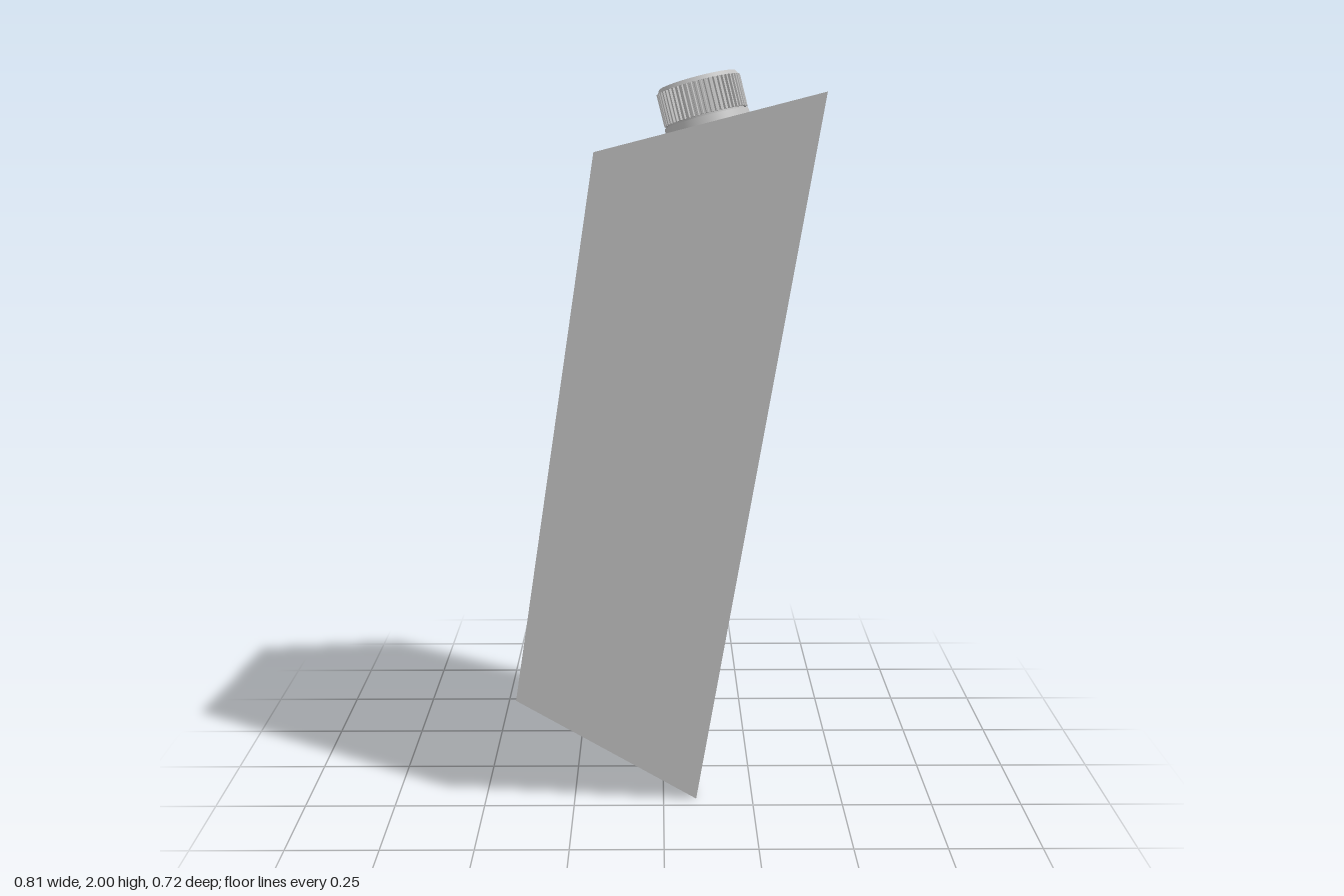
import * as THREE from 'three';

const plastic = new THREE.MeshStandardMaterial({ color: 0xc0c0c0 });
plastic.name = 'grey';

const V = (x, y, z) => new THREE.Vector3(x, y, z);

function addMesh(parent, name, geometry, y = 0) {
  const mesh = new THREE.Mesh(geometry, plastic);
  mesh.name = name;
  mesh.position.y = y;
  parent.add(mesh);
  return mesh;
}

// Front left corner of the slanted end faces, with steps to the right and to the back
const top = { corner: V(0.4, 1.945, 0.348), right: V(-0.573, -0.145, 0.01), back: V(0.006, -0.065, -0.588) };
const bottom = { corner: V(0.092, 0, 0.21), right: V(-0.497, 0.315, 0.043), back: V(0.042, 0.147, -0.57) };

// Leaning carton: a box whose corners move onto the two slanted ends
function cartonGeometry() {
  const geometry = new THREE.BoxGeometry(1, 1, 1);
  const pos = geometry.attributes.position;
  for (let i = 0; i < pos.count; i++) {
    const end = pos.getY(i) > 0 ? top : bottom;
    const p = end.corner.clone();
    if (pos.getX(i) < 0) p.add(end.right);
    if (pos.getZ(i) < 0) p.add(end.back);
    pos.setXYZ(i, p.x, p.y, p.z);
  }
  geometry.computeVertexNormals();
  return geometry;
}

// Grip of the cap: a toothed outline pulled upwards
function gripGeometry(teeth, inner, outer, height) {
  const shape = new THREE.Shape();
  const step = (Math.PI * 2) / teeth;
  for (let i = 0; i < teeth; i++) {
    [[0, inner], [0.35, inner], [0.5, outer], [0.85, outer]].forEach(([t, r], k) => {
      const a = (i + t) * step;
      const x = Math.cos(a) * r, y = Math.sin(a) * r;
      if (i + k === 0) shape.moveTo(x, y);
      else shape.lineTo(x, y);
    });
  }
  shape.closePath();
  const geometry = new THREE.ExtrudeGeometry(shape, { depth: height, bevelEnabled: false });
  return geometry.rotateX(-Math.PI / 2);
}

export function createModel() {
  const model = new THREE.Group();
  model.name = 'carton';
  addMesh(model, 'cartonBody', cartonGeometry());

  // Screw cap, standing square on the sloping top
  const cap = new THREE.Group();
  cap.name = 'screwCap';
  cap.position.set(0.115, 1.855, 0.2);
  const normal = top.right.clone().cross(top.back).normalize();
  if (normal.y < 0) normal.negate();
  cap.quaternion.setFromUnitVectors(V(0, 1, 0), normal);
  model.add(cap);

  addMesh(cap, 'neck', new THREE.CylinderGeometry(0.1, 0.1, 0.034, 48), 0.013);
  addMesh(cap, 'tamperRing', new THREE.CylinderGeometry(0.109, 0.112, 0.02, 64), 0.013);
  addMesh(cap, 'grip', gripGeometry(54, 0.103, 0.109, 0.082), 0.028);
  addMesh(cap, 'capRim', new THREE.CylinderGeometry(0.1, 0.106, 0.011, 64), 0.1155);
  addMesh(cap, 'centreNub', new THREE.CylinderGeometry(0.006, 0.008, 0.003, 16), 0.1225);
  return model;
}
